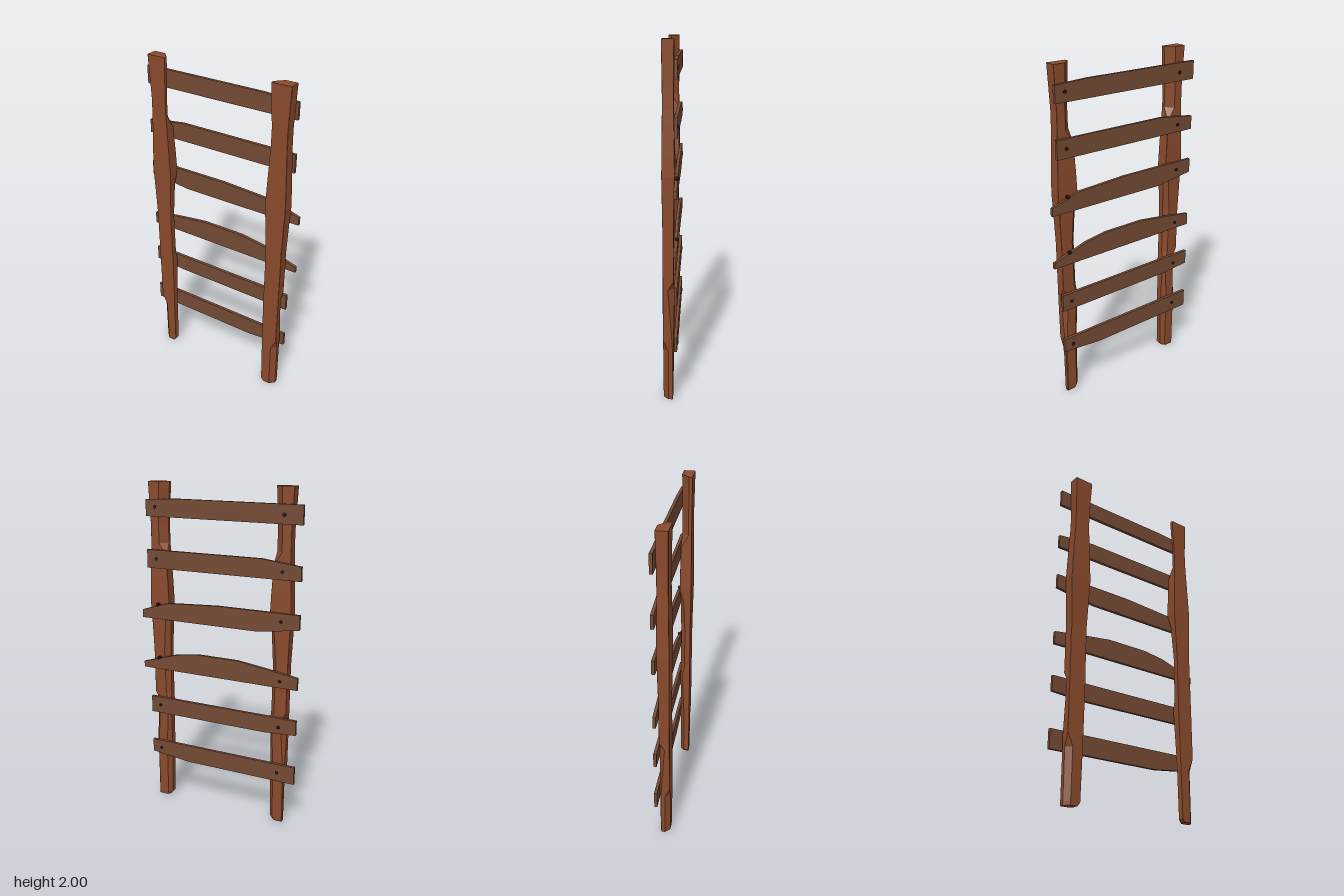
import * as THREE from 'three';

const postMat = new THREE.MeshStandardMaterial({ color: 0x8a4a2c, flatShading: true });
const rungMat = new THREE.MeshStandardMaterial({ color: 0x744a34, flatShading: true });
const nailMat = new THREE.MeshStandardMaterial({ color: 0x2c1212, flatShading: true });

// Hewn post levels: y, inner x, outer x, front z, back z,
// then corner cuts: outer front, outer back, inner back
const LEVELS = [
  [0.00, 0.355, 0.425, 0.037, -0.015, 0.028, 0.002, 0.018],
  [0.02, 0.340, 0.425, 0.038, -0.017, 0.028, 0.002, 0.022],
  [0.30, 0.336, 0.427, 0.040, -0.019, 0.030, 0.006, 0.025],
  [0.37, 0.335, 0.430, 0.040, -0.020, 0.001, 0.010, 0.025],
  [0.67, 0.332, 0.432, 0.040, -0.020, 0.001, 0.032, 0.012],
  [0.72, 0.333, 0.432, 0.040, -0.020, 0.001, 0.001, 0.025],
  [1.00, 0.334, 0.433, 0.040, -0.020, 0.001, 0.001, 0.028],
  [1.22, 0.324, 0.441, 0.043, -0.023, 0.001, 0.001, 0.022],
  [1.30, 0.320, 0.445, 0.044, -0.025, 0.001, 0.001, 0.001],
  [1.42, 0.325, 0.441, 0.043, -0.024, 0.001, 0.001, 0.001],
  [1.58, 0.333, 0.435, 0.041, -0.021, 0.001, 0.001, 0.004],
  [1.65, 0.337, 0.432, 0.040, -0.020, 0.001, 0.001, 0.042],
  [1.76, 0.338, 0.431, 0.040, -0.020, 0.001, 0.001, 0.042],
  [2.00, 0.326, 0.441, 0.043, -0.022, 0.001, 0.001, 0.045],
];

// Loft the levels into one post; side is +1 or -1
function postGeometry(side) {
  const pos = [], idx = [], n = 7;
  for (const [y, xi, xo, zf, zb, of, ob, ib] of LEVELS) {
    const ring = [
      [xi, zf], [xo - of, zf], [xo, zf - of],
      [xo, zb + ob], [xo - ob, zb], [xi + ib, zb], [xi, zb + ib],
    ];
    for (const [x, z] of ring) pos.push(side * x, y, z);
  }
  const tri = (a, b, c) => (side > 0 ? idx.push(a, b, c) : idx.push(a, c, b));
  for (let l = 0; l < LEVELS.length - 1; l++) {
    for (let i = 0; i < n; i++) {
      const a = l * n + i, b = l * n + (i + 1) % n;
      tri(a, b, b + n);
      tri(a, b + n, a + n);
    }
  }
  const top = (LEVELS.length - 1) * n;
  for (let i = 1; i < n - 1; i++) {
    tri(0, i + 1, i);
    tri(top, top + i, top + i + 1);
  }
  const g = new THREE.BufferGeometry();
  g.setAttribute('position', new THREE.Float32BufferAttribute(pos, 3));
  g.setIndex(idx);
  const flat = g.toNonIndexed();
  flat.computeVertexNormals();
  return flat;
}

// Rung outlines (counterclockwise) and the heights of their two nails
const RUNGS = [
  { nails: [0.34, 0.345], outline: [[-0.5, 0.285], [0.2, 0.285], [0.45, 0.312], [0.45, 0.395], [-0.5, 0.395]] },
  { nails: [0.635, 0.64], outline: [[-0.5, 0.602], [-0.3, 0.588], [0.45, 0.588], [0.45, 0.692], [-0.5, 0.692]] },
  { nails: [0.92, 0.95], outline: [[-0.5, 0.88], [0.495, 0.88], [0.495, 0.915], [0.4, 0.945], [0.27, 0.985],
    [0.13, 1.005], [-0.13, 1.005], [-0.3, 0.983], [-0.5, 0.953]] },
  { nails: [1.27, 1.285], outline: [[-0.5, 1.233], [-0.25, 1.198], [0.495, 1.198], [0.495, 1.245], [0.4, 1.275],
    [0.32, 1.3], [0, 1.318], [-0.5, 1.318]] },
  { nails: [1.55, 1.56], outline: [[-0.5, 1.505], [0.45, 1.505], [0.45, 1.613], [-0.27, 1.613], [-0.5, 1.585]] },
  { nails: [1.855, 1.86], outline: [[-0.5, 1.805], [0.45, 1.805], [0.45, 1.9], [0.25, 1.91], [-0.5, 1.91]] },
];

export function createModel() {
  const model = new THREE.Group();
  model.name = 'ladder';
  const add = (geometry, material, name) => {
    const mesh = new THREE.Mesh(geometry, material);
    mesh.name = name;
    model.add(mesh);
    return mesh;
  };

  add(postGeometry(1), postMat, 'leftPost');
  add(postGeometry(-1), postMat, 'rightPost');

  // Plank rungs fixed to the back of the posts
  const nailGeo = new THREE.CylinderGeometry(0.011, 0.011, 0.02, 6).rotateX(Math.PI / 2);
  RUNGS.forEach(({ outline, nails }, i) => {
    const shape = new THREE.Shape(outline.map(([x, y]) => new THREE.Vector2(x, y)));
    const g = new THREE.ExtrudeGeometry(shape, { depth: 0.018, bevelEnabled: false });
    g.translate(0, 0, -0.04);
    add(g, rungMat, `rung${i + 1}`);
    // One nail through each end
    [-0.393, 0.39].forEach((x, k) => {
      add(nailGeo, nailMat, `nail${i + 1}${k ? 'Left' : 'Right'}`).position.set(x, nails[k], -0.035);
    });
  });

  return model;
}
